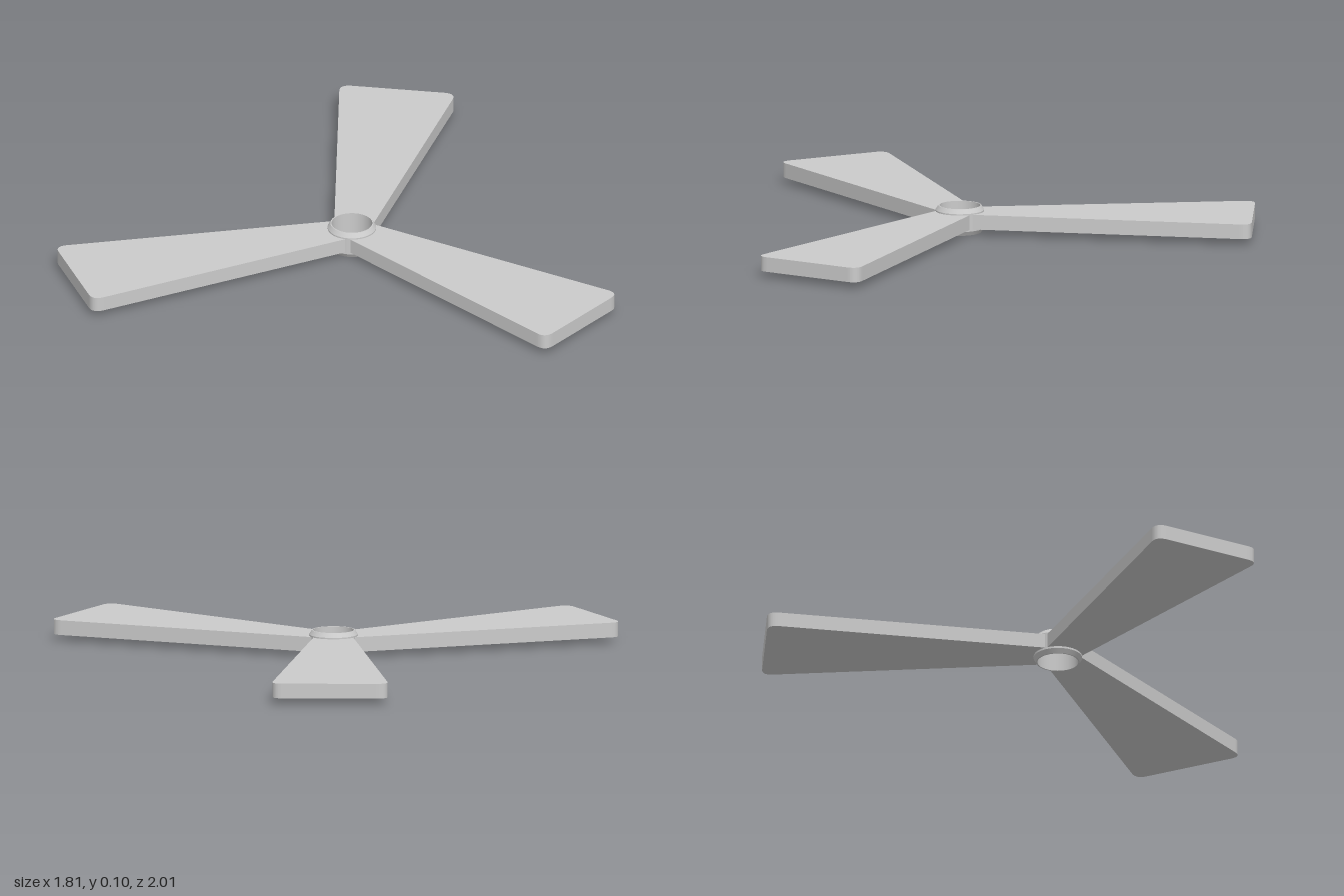
import * as THREE from 'three';

const HUB_X = -0.172, HUB_Z = -0.011;
const RAD = Math.PI / 180;

// Flat tapered blade along +x: concave root around the hub, rounded tip corners
function bladeGeometry() {
  const rootR = 0.082, rootA = 60 * RAD, length = 1.063, half = 0.214, cut = 0.045;
  const rx = rootR * Math.cos(rootA), ry = rootR * Math.sin(rootA);
  const t = cut / Math.hypot(length - rx, half - ry);
  const sx = length - (length - rx) * t, sy = half - (half - ry) * t;
  const shape = new THREE.Shape();
  shape.moveTo(rx, -ry);
  shape.lineTo(sx, -sy);
  shape.quadraticCurveTo(length, -half, length, -half + cut);
  shape.lineTo(length, half - cut);
  shape.quadraticCurveTo(length, half, sx, sy);
  shape.lineTo(rx, ry);
  shape.absarc(0, 0, rootR, rootA, -rootA, true);
  const geo = new THREE.ExtrudeGeometry(shape, { depth: 0.054, bevelEnabled: false, curveSegments: 12 });
  return geo.rotateX(-Math.PI / 2).translate(0, 0.023, 0);
}

// Open ring with chamfered rims; each profile segment is its own lathe so edges stay sharp
function hubRing(material) {
  const hub = new THREE.Group();
  hub.name = 'hubRing';
  const profile = [
    [0.074, 0], [0.078, 0], [0.088, 0.016], [0.088, 0.082], [0.078, 0.098], [0.074, 0.098], [0.074, 0],
  ].map(([r, y]) => new THREE.Vector2(r, y));
  const names = ['bottomRim', 'bottomChamfer', 'outerWall', 'topChamfer', 'topRim', 'bore'];
  names.forEach((name, i) => {
    const band = new THREE.Mesh(new THREE.LatheGeometry([profile[i], profile[i + 1]], 48), material);
    band.name = name;
    hub.add(band);
  });
  return hub;
}

export function createModel() {
  const model = new THREE.Group();
  model.name = 'propeller';
  const material = new THREE.MeshStandardMaterial({ color: 0xcccccc, side: THREE.DoubleSide });

  const rotor = new THREE.Group();
  rotor.name = 'rotor';
  rotor.position.set(HUB_X, 0, HUB_Z);
  rotor.add(hubRing(material));

  // Three blades, slightly unevenly spaced
  const geo = bladeGeometry();
  [3.2, -119.7, 122.6].forEach((angle, i) => {
    const blade = new THREE.Mesh(geo, material);
    blade.name = `blade${i + 1}`;
    blade.rotation.y = angle * RAD;
    rotor.add(blade);
  });

  model.add(rotor);
  return model;
}
